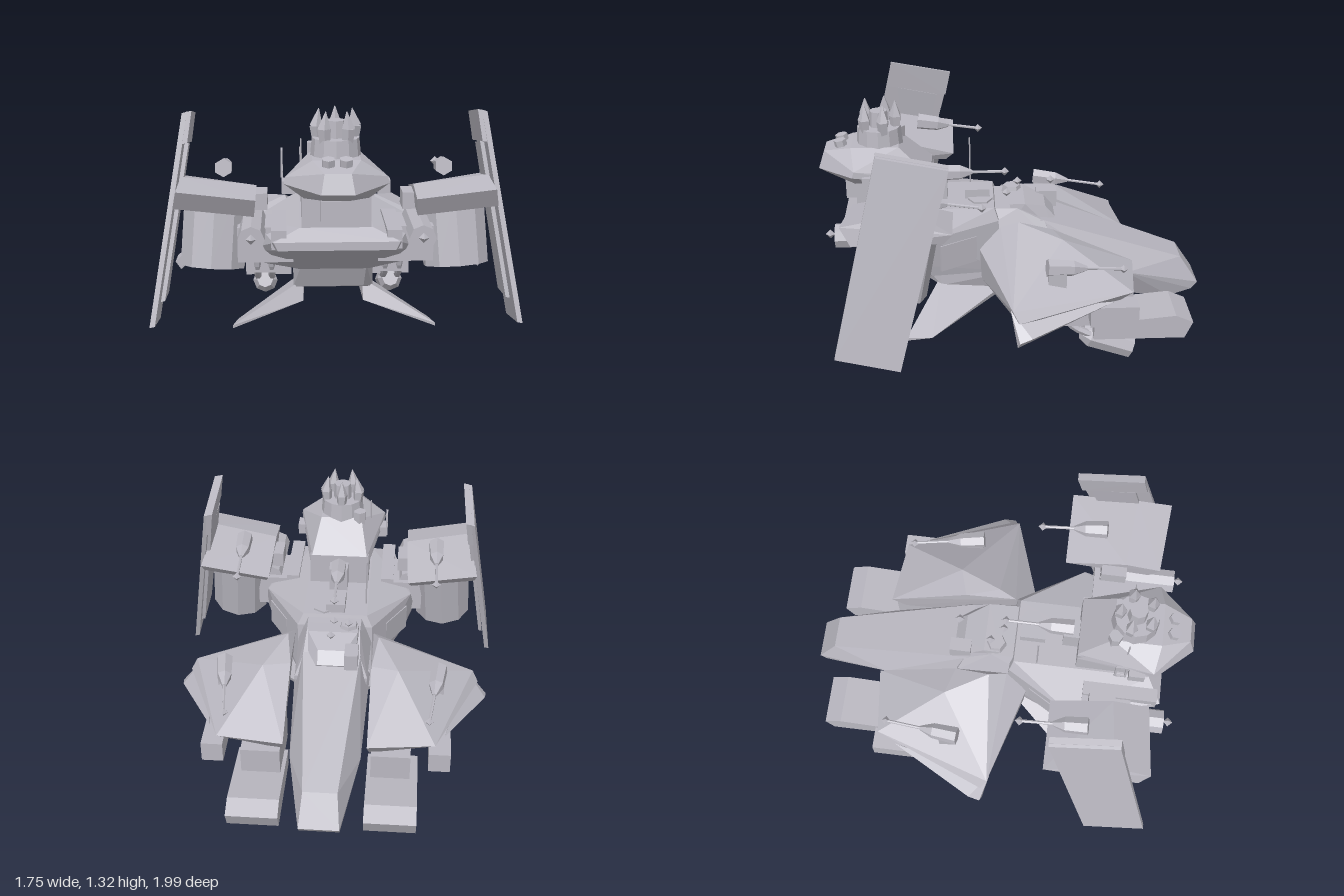
import * as THREE from 'three';
import { ConvexGeometry } from 'three/addons/geometries/ConvexGeometry.js';

const V = (p) => new THREE.Vector3(...p);

export function createModel() {
  const model = new THREE.Group();
  const grey = new THREE.MeshStandardMaterial({ color: 0xbab8c1, flatShading: true });
  grey.name = 'hullGrey';

  const add = (name, geo) => {
    const m = new THREE.Mesh(geo, grey);
    m.name = name;
    model.add(m);
    return m;
  };
  // faceted solid around a few corners; s = -1 mirrors it
  const solid = (name, pts, s = 1) => add(name, new ConvexGeometry(pts.map(([x, y, z]) => V([x * s, y, z]))));
  // solid symmetric about x = 0
  const symSolid = (name, pts) => solid(name, pts.flatMap((p) => [p, [-p[0], p[1], p[2]]]));
  const box = (name, x0, x1, y0, y1, z0, z1, s = 1) => {
    const m = add(name, new THREE.BoxGeometry(x1 - x0, y1 - y0, z1 - z0));
    m.position.set((s * (x0 + x1)) / 2, (y0 + y1) / 2, (z0 + z1) / 2);
    return m;
  };
  // straight prism or taper from a to b
  const rod = (name, a, b, ra, rb = ra, sides = 6) => {
    const A = V(a), B = V(b);
    const m = add(name, new THREE.CylinderGeometry(rb, ra, A.distanceTo(B), sides));
    m.position.copy(A).lerp(B, 0.5);
    m.quaternion.setFromUnitVectors(new THREE.Vector3(0, 1, 0), B.clone().sub(A).normalize());
    return m;
  };
  const diamond = (name, p, r = 0.024) => add(name, new THREE.OctahedronGeometry(r)).position.copy(V(p));
  // gun house, barrel and muzzle tip
  const turret = (name, base, tip) => {
    const at = (t) => V(base).lerp(V(tip), t).toArray();
    rod(name + 'House', at(-0.2), at(0.2), 0.045, 0.04);
    rod(name + 'Neck', at(0.2), at(0.42), 0.04, 0.012);
    rod(name + 'Barrel', at(0.3), tip, 0.008);
    diamond(name + 'Muzzle', tip);
  };

  // main hull with undercut bow
  symSolid('mainHull', [
    [0.17, 0.79, 0.8], [0.17, 0.79, 0.1], [0.29, 0.74, 0.87], [0.27, 0.7, 0.87],
    [0.4, 0.73, 0.42], [0.42, 0.6, 0.5], [0.37, 0.51, 0.42], [0.2, 0.73, 0.08],
    [0.2, 0.44, 0.06], [0.17, 0.5, 0.52],
  ]);
  symSolid('keel', [
    [0.16, 0.52, 0.52], [0.15, 0.39, 0.46], [0.2, 0.5, 0.4], [0.2, 0.36, 0.38],
    [0.13, 0.3, 0.05], [0.19, 0.45, -0.1], [0.12, 0.27, -0.3],
  ]);
  symSolid('midHull', [
    [0.15, 0.78, 0.42], [0.14, 0.77, -0.02], [0.15, 0.7, -0.16],
    [0.2, 0.66, 0.2], [0.19, 0.6, -0.2], [0.18, 0.35, 0.2], [0.16, 0.33, -0.2],
  ]);
  symSolid('tailSpine', [
    [0.15, 0.71, -0.14], [0.09, 0.465, -0.82], [0.085, 0.44, -0.9], [0.1, 0.29, -1],
    [0.1, 0.25, -0.97], [0.1, 0.21, -0.85], [0.18, 0.4, -0.6], [0.2, 0.55, -0.1],
    [0.14, 0.31, -0.1],
  ]);

  // deck fittings
  symSolid('canopy', [
    [0.07, 0.75, -0.17], [0.07, 0.69, -0.22], [0.13, 0.79, -0.06], [0.14, 0.7, 0], [0.13, 0.79, 0.02], [0.12, 0.64, -0.2],
  ]);
  box('deckLocker', -0.14, -0.07, 0.68, 0.77, -0.24, -0.13);
  rod('deckHatch', [0.06, 0.77, 0.17], [0.06, 0.8, 0.17], 0.065);
  rod('domeBase', [-0.08, 0.77, 0], [-0.08, 0.81, 0], 0.055, 0.045);
  diamond('domeTip', [-0.08, 0.83, -0.03]);
  diamond('deckTip', [0, 0.8, 0.03]);
  diamond('beacon', [0, 0.87, -0.2]);
  box('deckHouse', -0.05, 0.05, 0.78, 0.84, 0.12, 0.25);
  box('deckGunMount', -0.05, 0.05, 0.78, 0.92, 0.34, 0.44);
  turret('deckGun', [0, 0.92, 0.33], [0, 0.92, 0.04]);
  rod('deckMast', [-0.16, 0.72, 0.22], [-0.16, 1.05, 0.22], 0.004, 0.004, 4);

  // bridge tower
  box('neck', -0.16, 0.16, 0.74, 0.96, 0.42, 0.8);
  box('neckBlock', -0.075, 0.075, 0.82, 0.93, 0.78, 0.86);
  symSolid('bridgeHead', [
    [0.16, 0.92, 0.42], [0.15, 0.96, 0.42], [0.24, 1.0, 0.81], [0.235, 1.03, 0.8],
    [0.075, 0.99, 0.99], [0.06, 1.08, 0.96], [0.11, 1.11, 0.82], [0.11, 1.11, 0.58],
    [0.15, 0.93, 0.8], [0.06, 0.95, 0.93],
  ]);
  rod('crownBase', [0, 1.08, 0.68], [0, 1.19, 0.68], 0.12, 0.11, 12);
  rod('crownCore', [0, 1.18, 0.68], [0, 1.27, 0.68], 0.05, 0.045, 8);
  for (let i = 0; i < 5; i++) {
    const a = (i / 5) * Math.PI * 2 + 0.63;
    const x = Math.sin(a) * 0.085, z = 0.68 + Math.cos(a) * 0.085;
    rod('crownSpikeBase', [x, 1.14, z], [x * 1.1, 1.24, z], 0.022, 0.032, 5);
    rod('crownSpike', [x * 1.1, 1.24, z], [x * 0.95, 1.32, z], 0.032, 0.002, 5);
  }
  for (const x of [-0.04, 0.04]) rod('bowLamp', [x, 1.08, 0.87], [x, 1.13, 0.88], 0.032);
  rod('headSensor', [-0.1, 1.06, 0.59], [-0.1, 1.15, 0.59], 0.035);
  rod('headMast', [-0.16, 0.98, 0.66], [-0.16, 1.18, 0.66], 0.004, 0.004, 4);
  for (const z of [0.61, 0.66]) box('antennaPost', -0.255, -0.245, 1.0, 1.12, z - 0.005, z + 0.005);
  for (const y of [1.0, 1.12]) box('antennaBar', -0.255, -0.245, y - 0.005, y + 0.005, 0.605, 0.665);
  for (const s of [1, -1]) box('headPod', 0.19, 0.25, 0.94, 1.0, 0.68, 0.76, s);

  for (const s of [1, -1]) {
    // rear armoured wing
    solid('wing', [
      [0.21, 0.7, 0.07], [0.24, 0.74, -0.02], [0.35, 0.69, -0.24], [0.21, 0.49, -0.62],
      [0.21, 0.68, -0.2], [0.26, 0.6, 0.18], [0.26, 0.43, 0.17], [0.75, 0.51, 0.03],
      [0.78, 0.46, 0], [0.55, 0.49, -0.58], [0.25, 0.36, 0.04], [0.22, 0.4, -0.55],
      [0.55, 0.44, -0.5], [0.66, 0.41, -0.05],
    ], s);
    solid('wingTip', [
      [0.72, 0.5, 0.04], [0.83, 0.38, 0], [0.8, 0.34, 0.01], [0.69, 0.44, 0.03], [0.6, 0.47, -0.48], [0.82, 0.4, -0.06],
    ], s);
    box('wingBlock', 0.52, 0.63, 0.34, 0.45, -0.6, -0.36, s);
    turret('wingGun', [s * 0.555, 0.64, -0.21], [s * 0.515, 0.605, -0.53]);
    box('wingGunMount', 0.53, 0.59, 0.53, 0.63, -0.24, -0.15, s);

    // swept lower fin
    solid('lowerFin', [
      [0.14, 0.3, 0.05], [0.15, 0.33, 0.05], [0.15, 0.3, 0.42], [0.15, 0.4, 0.38],
      [0.5, 0.225, 0.56], [0.5, 0.21, 0.56], [0.48, 0.21, 0.43],
    ], s);

    // rear thruster boxes and slung pod
    const tray = [[0.17, -0.4], [0.26, -0.4], [0.3, -0.82], [0.26, -0.91], [0.17, -0.87]];
    solid('thrusterBox', [0.21, 0.47].flatMap((x) => tray.map(([y, z]) => [x, y, z])), s);
    box('thrusterMount', 0.23, 0.43, 0.23, 0.42, -0.6, -0.25, s);
    rod('slungPod', [s * 0.36, 0.14, -0.39], [s * 0.36, 0.062, -0.61], 0.07, 0.068, 8);
    rod('slungPodNose', [s * 0.36, 0.155, -0.35], [s * 0.36, 0.14, -0.39], 0.045, 0.07, 8);
    for (const dx of [-0.04, 0.04]) {
      const path = [[0.38, -0.24], [0.28, -0.25], [0.21, -0.3], [0.16, -0.39]];
      const curve = new THREE.CatmullRomCurve3(path.map(([y, z]) => V([s * 0.36 + dx, y, z])));
      add('podPipe', new THREE.TubeGeometry(curve, 8, 0.02, 6));
    }

    // side nacelle: sloped cap, drum and arm
    solid('nacelleCap', [
      [0.38, 0.87, 0.31], [0.75, 0.93, 0.31], [0.37, 0.95, 0.62], [0.72, 1.0, 0.65],
      [0.37, 0.92, 0.8], [0.73, 0.97, 0.83], [0.38, 0.83, 0.75], [0.75, 0.88, 0.78],
      [0.4, 0.83, 0.35], [0.74, 0.88, 0.35],
    ], s);
    rod('nacelleDrum', [s * 0.585, 0.55, 0.6], [s * 0.56, 0.9, 0.53], 0.158, 0.158, 10);
    box('nacelleArm', 0.2, 0.46, 0.6, 0.77, 0.47, 0.72, s);
    box('nacelleHinge', 0.32, 0.42, 0.83, 0.91, 0.5, 0.63, s);
    box('deckSlab', 0.23, 0.3, 0.7, 0.79, 0.47, 0.85, s);
    turret('nacelleGun', [s * 0.53, 1.0, 0.45], [s * 0.53, 0.96, 0.17]);
    rod('bowGun', [s * 0.39, 0.76, 0.5], [s * 0.39, 0.76, 0.89], 0.062, 0.062, 8);
    diamond('bowGunTip', [s * 0.39, 0.77, 0.915]);

    // tall tilted shield plate with an inner backing layer
    const plate = (name, corners, d0, d1) =>
      solid(name, corners.flatMap(([x, y, z]) => [[x - d0, y, z], [x - d1, y + 0.005, z]]), s);
    plate('shieldPlate', [[0.705, 1.3, 0.65], [0.715, 1.235, 0.32], [0.875, 0.27, 0.57], [0.865, 0.34, 0.88]], 0, 0.025);
    plate('shieldTop', [[0.69, 1.305, 0.65], [0.7, 1.24, 0.32], [0.72, 1.1, 0.35], [0.712, 1.16, 0.68]], 0, 0.03);
    plate('shieldBacking', [[0.7, 1.15, 0.62], [0.715, 1.1, 0.4], [0.825, 0.4, 0.56], [0.82, 0.43, 0.78]], 0, 0.02);

    // hull side door
    solid('sideDoor', [0.54, 0.68].flatMap((y) =>
      [[0.262, 0.2], [0.37, 0.38]].flatMap(([x, z]) => [[x, y, z], [x + 0.012, y, z - 0.006]])), s);
  }
  return model;
}
